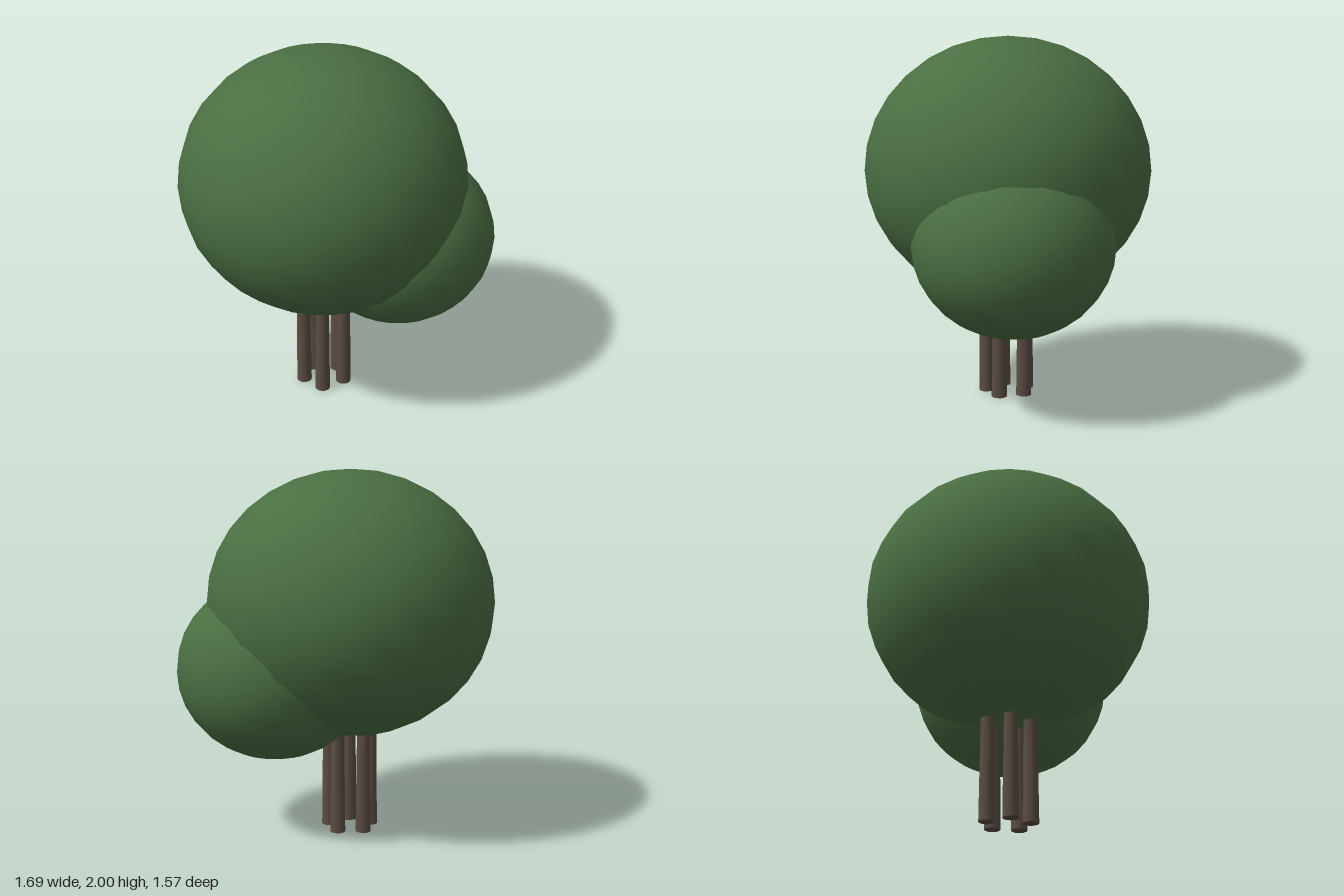
import * as THREE from 'three';

export function createModel() {
  const tree = new THREE.Group();
  tree.name = 'tree';
  const leaf = new THREE.MeshStandardMaterial({ color: 0x4a6e42 });
  const bark = new THREE.MeshStandardMaterial({ color: 0x5a4c42 });

  // Slightly flattened foliage balls
  function crown(name, radius, height, x, y, z) {
    const mesh = new THREE.Mesh(new THREE.SphereGeometry(1, 24, 16), leaf);
    mesh.name = name;
    mesh.scale.set(radius, height, radius);
    mesh.position.set(x, y, z);
    tree.add(mesh);
  }
  crown('mainCrown', 0.787, 0.724, -0.062, 1.276, 0);
  crown('sideCrown', 0.538, 0.496, 0.307, 0.93, -0.19);

  // Ring of five slim, slightly tapered stems
  const stems = new THREE.Group();
  stems.name = 'stems';
  const stemHeight = 0.8;
  const stemShape = new THREE.CylinderGeometry(0.034, 0.043, stemHeight, 12);
  for (let i = 0; i < 5; i++) {
    const a = (i / 5) * Math.PI * 2;
    const stem = new THREE.Mesh(stemShape, bark);
    stem.name = `stem${i + 1}`;
    stem.position.set(-0.06 + 0.12 * Math.cos(a), stemHeight / 2, 0.12 * Math.sin(a));
    stems.add(stem);
  }
  tree.add(stems);

  return tree;
}
